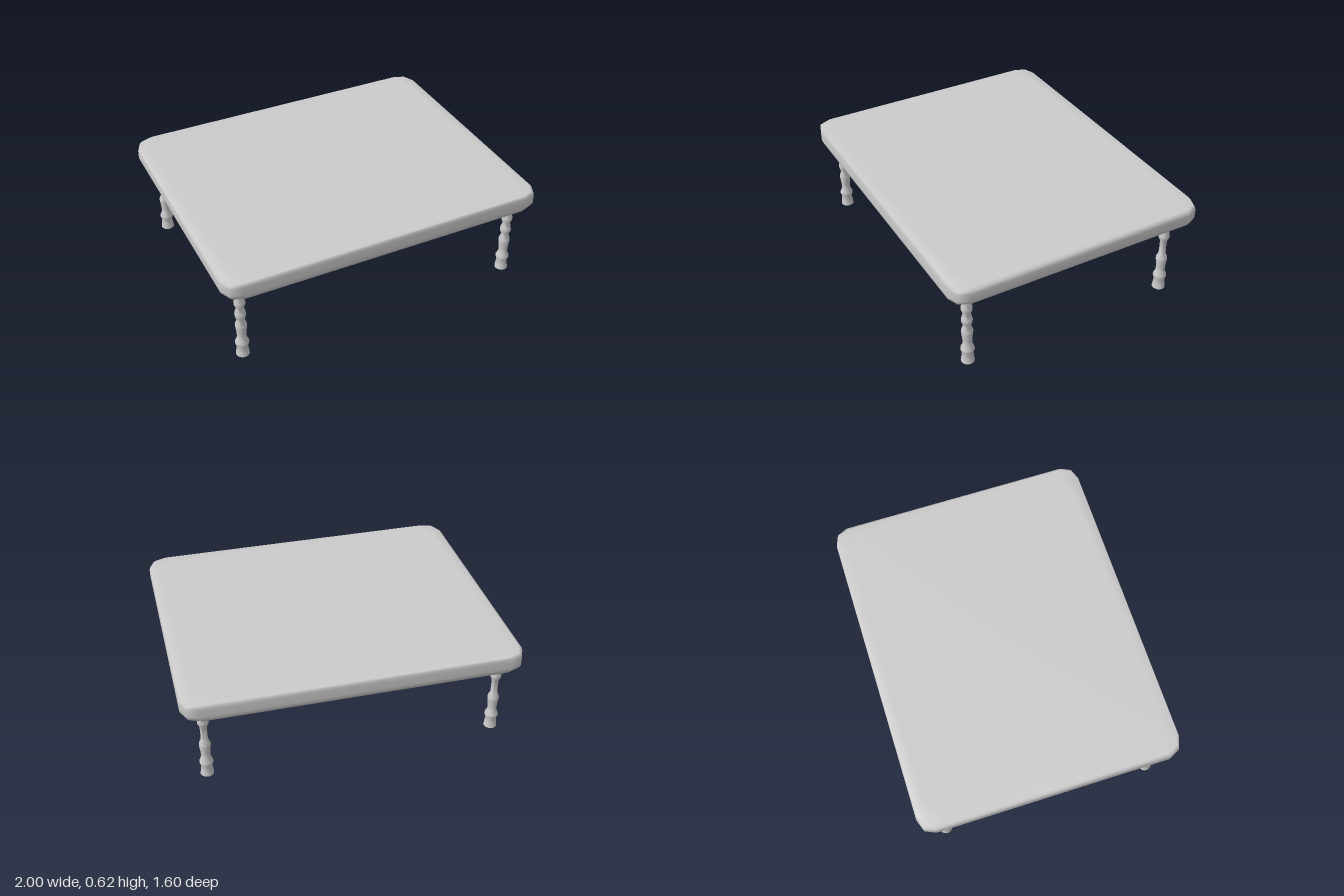
import * as THREE from 'three';
import { toCreasedNormals } from 'three/addons/utils/BufferGeometryUtils.js';

const material = new THREE.MeshStandardMaterial({ color: 0xcccccc });

// Slab lofted through rings of a rectangle with clipped corners
function topGeometry() {
  const corner = [[1, 0.71], [0.97, 0.775], [0.9, 0.8]];
  const back = [...corner].reverse();
  const outline = [
    ...corner,
    ...back.map(([x, z]) => [-x, z]),
    ...corner.map(([x, z]) => [-x, -z]),
    ...back.map(([x, z]) => [x, -z]),
  ];
  // Each ring: height, x scale, z scale
  const rings = [
    [0.505, 0, 0], [0.505, 0.92, 0.91], [0.505, 0.98, 0.99], [0.522, 0.996, 0.998],
    [0.538, 1, 1], [0.585, 1, 1], [0.603, 0.996, 0.998], [0.615, 0.98, 0.99],
    [0.616, 0.92, 0.91], [0.616, 0, 0],
  ];
  const n = outline.length;
  const positions = [];
  const index = [];
  for (const [y, sx, sz] of rings) {
    for (const [x, z] of outline) positions.push(x * sx, y, z * sz);
  }
  for (let r = 0; r < rings.length - 1; r++) {
    for (let i = 0; i < n; i++) {
      const a = r * n + i;
      const b = r * n + (i + 1) % n;
      if (r > 0) index.push(a, a + n, b);
      if (r < rings.length - 2) index.push(b, a + n, b + n);
      else index.push();
    }
  }
  const geometry = new THREE.BufferGeometry();
  geometry.setAttribute('position', new THREE.Float32BufferAttribute(positions, 3));
  geometry.setIndex(index);
  geometry.computeVertexNormals();
  return geometry;
}

// Turned leg; the middle of the shaft is either beaded or plain
function legGeometry(beaded) {
  const middle = beaded
    ? [[0.022, 0.26], [0.031, 0.285], [0.033, 0.3], [0.031, 0.315], [0.022, 0.345]]
    : [[0.021, 0.255], [0.02, 0.3], [0.021, 0.35]];
  const profile = [
    [0, 0], [0.04, 0], [0.036, 0.03], [0.032, 0.065], [0.041, 0.085], [0.04, 0.095],
    [0.027, 0.125], [0.028, 0.16], [0.034, 0.21], [0.034, 0.225],
    ...middle,
    [0.033, 0.375], [0.033, 0.39], [0.025, 0.43], [0.023, 0.465], [0.033, 0.488], [0.036, 0.512],
  ];
  const lathe = new THREE.LatheGeometry(profile.map(([r, y]) => new THREE.Vector2(r, y)), 16);
  return toCreasedNormals(lathe, 1);
}

export function createModel() {
  const table = new THREE.Group();
  table.name = 'table';

  const top = new THREE.Mesh(topGeometry(), material);
  top.name = 'tableTop';
  table.add(top);

  // Front legs have the extra bead, back legs are plain
  for (const [end, z, beaded] of [['front', 0.674, true], ['back', -0.648, false]]) {
    const geometry = legGeometry(beaded);
    for (const [side, x] of [['Left', 0.872], ['Right', -0.882]]) {
      const leg = new THREE.Mesh(geometry, material);
      leg.name = `${end}${side}Leg`;
      leg.position.set(x, 0, z);
      table.add(leg);
    }
  }
  return table;
}
